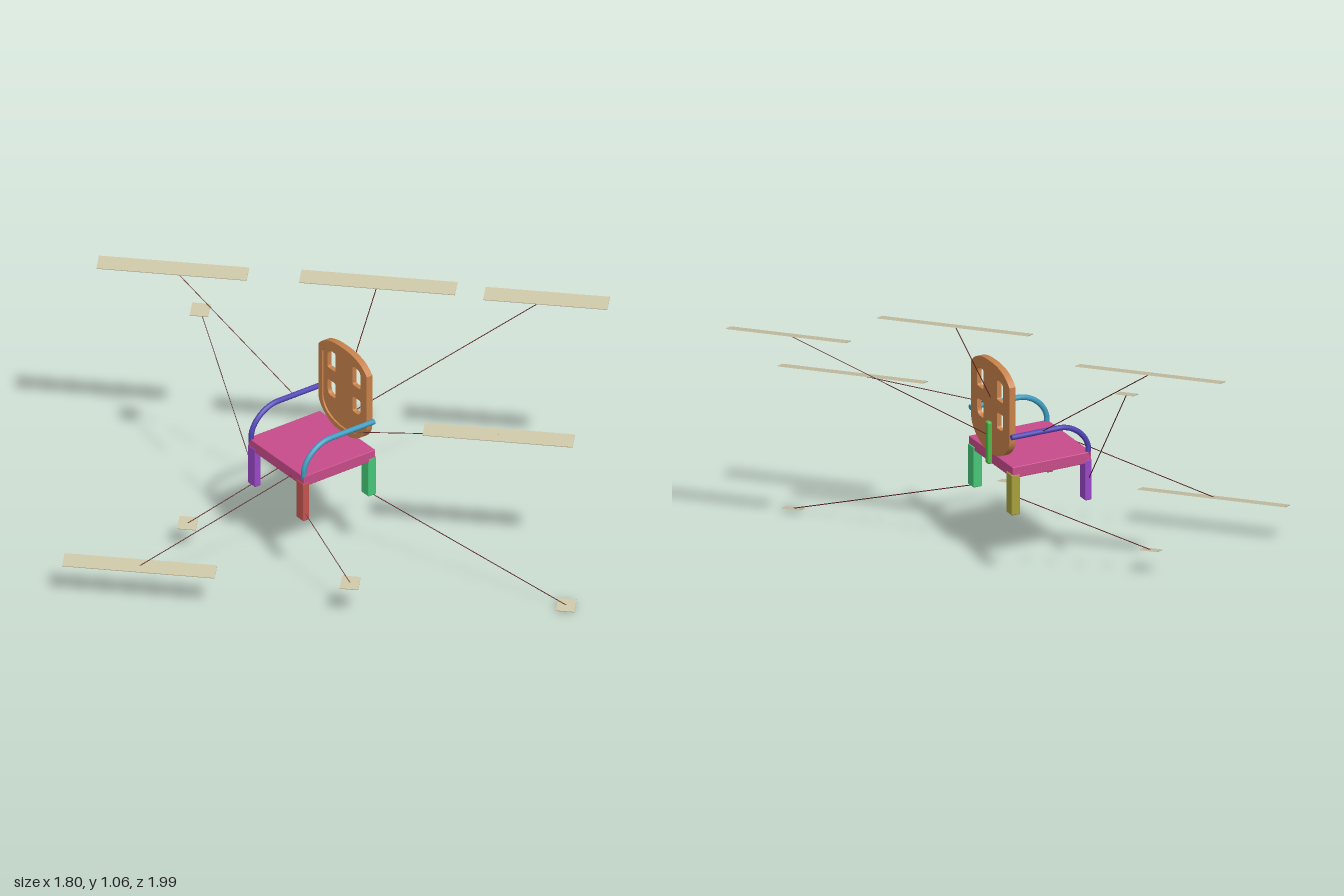
import * as THREE from 'three';
import { RoundedBoxGeometry } from 'three/addons/geometries/RoundedBoxGeometry.js';

const CX = -0.012; // mid-plane of the chair
const V = (x, y, z) => new THREE.Vector3(x, y, z);
const mat = (color, side = THREE.FrontSide) => new THREE.MeshStandardMaterial({ color, side });

function add(parent, name, geometry, material, x = 0, y = 0, z = 0) {
  const mesh = new THREE.Mesh(geometry, material);
  mesh.name = name;
  mesh.position.set(x, y, z);
  parent.add(mesh);
  return mesh;
}

// Box given by its lower and upper corners
function block(parent, name, material, a, b, radius = 0.003) {
  const s = b.clone().sub(a);
  const c = a.clone().add(b).multiplyScalar(0.5);
  return add(parent, name, new RoundedBoxGeometry(s.x, s.y, s.z, 2, radius), material, c.x, c.y, c.z);
}

// Backrest outline: straight sides, low arched top, round bottom; inset shrinks it
function backOutline(path, inset = 0) {
  const w = 0.153 - inset, top = 0.857 - inset, shoulder = 0.803 - inset * 0.8;
  const low = 0.585 + inset * 0.3, bottom = 0.484 + inset;
  path.moveTo(-w, low);
  path.bezierCurveTo(-w, low - 0.05, -0.08, bottom, 0, bottom);
  path.bezierCurveTo(0.08, bottom, w, low - 0.05, w, low);
  path.lineTo(w, shoulder);
  path.bezierCurveTo(w * 0.78, top - 0.012, w * 0.45, top, 0, top);
  path.bezierCurveTo(-w * 0.45, top, -w * 0.78, top - 0.012, -w, shoulder);
  path.closePath();
  return path;
}

// Window with one larger rounded corner facing outwards; s = side, t = up or down
function windowHole(s, t) {
  const x0 = 0.054, x1 = 0.104, y0 = t > 0 ? 0.722 : 0.606, y1 = t > 0 ? 0.802 : 0.672;
  const r = 0.009, R = 0.026;
  const inner = t > 0 ? y0 : y1, outer = t > 0 ? y1 : y0;
  const p = new THREE.Path();
  p.moveTo(s * (x0 + r), inner);
  p.lineTo(s * (x1 - r), inner);
  p.quadraticCurveTo(s * x1, inner, s * x1, inner + t * r);
  p.lineTo(s * x1, outer - t * R);
  p.quadraticCurveTo(s * x1, outer, s * (x1 - R), outer);
  p.lineTo(s * (x0 + r), outer);
  p.quadraticCurveTo(s * x0, outer, s * x0, outer - t * r);
  p.lineTo(s * x0, inner + t * r);
  p.quadraticCurveTo(s * x0, inner, s * (x0 + r), inner);
  return p;
}

function buildBack(parent) {
  const brown = mat(0xc8824a);
  const panel = backOutline(new THREE.Shape());
  for (const s of [-1, 1]) for (const t of [-1, 1]) panel.holes.push(windowHole(s, t));
  const flat = { bevelEnabled: false, curveSegments: 14 };
  add(parent, 'backPanel', new THREE.ExtrudeGeometry(panel, { ...flat, depth: 0.019 }), brown, CX, 0, -0.127);
  // raised border on the front face
  const rim = backOutline(new THREE.Shape());
  rim.holes.push(backOutline(new THREE.Path(), 0.024));
  add(parent, 'backRim', new THREE.ExtrudeGeometry(rim, { ...flat, depth: 0.007 }), brown, CX, 0, -0.108);
}

function buildSeat(parent) {
  const pink = mat(0xc84c8a);
  const x0 = CX - 0.176, x1 = CX + 0.176, z0 = -0.125, z1 = 0.208;
  block(parent, 'seatTop', pink, V(x0, 0.468, z0), V(x1, 0.49, z1));
  // apron leaving the underside hollow
  const yb = 0.445, yt = 0.472, w = 0.022;
  block(parent, 'frontApron', pink, V(x0, yb, z1 - w), V(x1, yt, z1));
  block(parent, 'backApron', pink, V(x0, yb, z0), V(x1, yt, z0 + w));
  block(parent, 'rightApron', pink, V(x0, yb, z0), V(x0 + w, yt, z1));
  block(parent, 'leftApron', pink, V(x1 - w, yb, z0), V(x1, yt, z1));
}

function buildLegs(parent) {
  const legs = [
    ['frontRightLeg', -1, 0.182, 0.21, 0x9a48c8],
    ['frontLeftLeg', 1, 0.182, 0.21, 0xc45650],
    ['backRightLeg', -1, -0.129, -0.092, 0xa8a03c],
    ['backLeftLeg', 1, -0.129, -0.092, 0x46c878],
  ];
  for (const [name, s, z0, z1, color] of legs) {
    const a = CX + s * 0.129, b = CX + s * 0.177;
    block(parent, name, mat(color), V(Math.min(a, b), 0.295, z0), V(Math.max(a, b), 0.46, z1), 0.005);
  }
}

// Arm: upright front, swept bend, straight run to the back
function buildArm(parent, name, s, color) {
  const x = CX + s * 0.166;
  const path = new THREE.CurvePath();
  path.add(new THREE.LineCurve3(V(x, 0.478, 0.2), V(x, 0.505, 0.2)));
  path.add(new THREE.CubicBezierCurve3(V(x, 0.505, 0.2), V(x, 0.555, 0.195), V(x, 0.608, 0.14), V(x, 0.608, 0.075)));
  path.add(new THREE.LineCurve3(V(x, 0.608, 0.075), V(x, 0.608, -0.122)));
  const arm = new THREE.Group();
  arm.name = name;
  const m = mat(color);
  add(arm, name + 'Tube', new THREE.TubeGeometry(path, 48, 0.0105, 12), m);
  add(arm, name + 'Cap', new THREE.CylinderGeometry(0.0105, 0.0105, 0.004, 12).rotateX(Math.PI / 2), m, x, 0.608, -0.123);
  parent.add(arm);
}

// Tilted blank tag with a thin leader running to its part
function buildTag(parent, name, length, at, target) {
  const tag = new THREE.Group();
  tag.name = name;
  const plate = add(tag, name + 'Plate', new THREE.BoxGeometry(length, 0.003, 0.066), mat(0xcac4a6), at.x, at.y, at.z);
  plate.rotation.set(0.27, Math.PI / 4, 0, 'YXZ');
  const line = new THREE.LineCurve3(at, target);
  add(tag, name + 'Leader', new THREE.TubeGeometry(line, 1, 0.0018, 6), mat(0x5a1c1c, THREE.DoubleSide));
  parent.add(tag);
}

export function createModel() {
  const model = new THREE.Group();
  model.name = 'taggedArmchair';

  const chair = new THREE.Group();
  chair.name = 'chair';
  model.add(chair);
  buildSeat(chair);
  buildLegs(chair);
  buildBack(chair);
  buildArm(chair, 'rightArm', -1, 0x5044b4);
  buildArm(chair, 'leftArm', 1, 0x3e9cc0);
  // post joining the backrest to the seat
  block(chair, 'backConnector', mat(0x50b848), V(CX - 0.013, 0.445, -0.143), V(CX + 0.013, 0.615, -0.122), 0.006);

  const tags = [
    ['connectorTag', 0.47, [0.311, 0.978, -0.81], [CX, 0.56, -0.135]],
    ['backTag', 0.59, [-0.058, 1.05, -0.3], [CX, 0.7, -0.12]],
    ['leftArmTag', 0.568, [0.562, 0.648, -0.405], [0.155, 0.6, -0.02]],
    ['rightArmTag', 0.568, [-0.678, 0.988, 0.198], [-0.176, 0.605, 0]],
    ['seatTag', 0.577, [-0.111, 0.167, 0.767], [0.09, 0.465, 0.2]],
    ['backLeftLegTag', 0.07, [0.855, 0.013, -0.503], [0.135, 0.3, -0.11]],
    ['frontLeftLegTag', 0.07, [0.427, 0.147, 0.185], [0.15, 0.335, 0.2]],
    ['frontRightLegTag', 0.07, [-0.543, 0.862, 0.17], [-0.175, 0.37, 0.2]],
    ['backRightLegTag', 0.07, [-0.33, 0.11, 0.384], [-0.17, 0.36, -0.1]],
  ];
  for (const [name, length, at, target] of tags) buildTag(model, name, length, V(...at), V(...target));
  return model;
}
